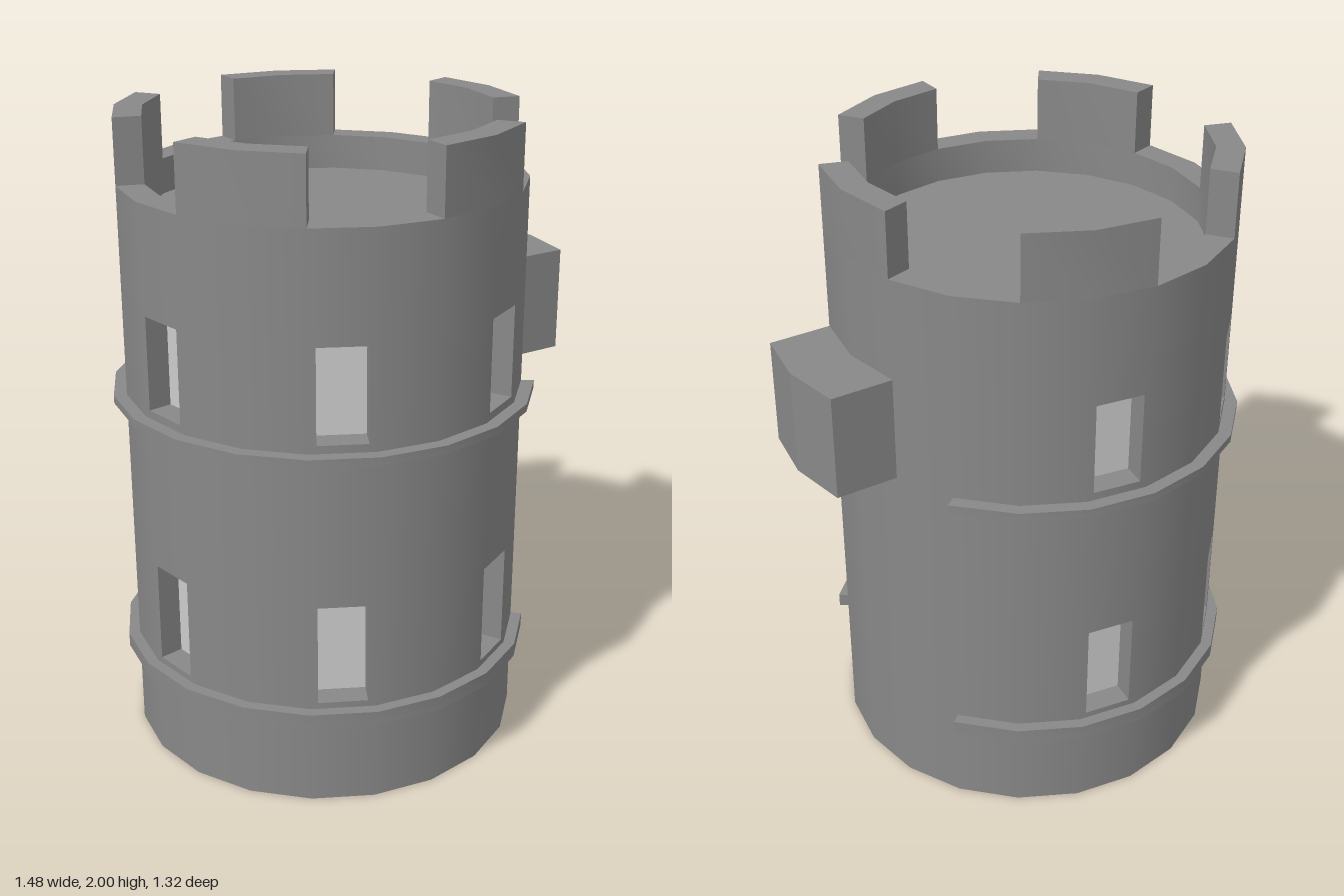
import * as THREE from 'three';
import { mergeGeometries, toCreasedNormals } from 'three/addons/utils/BufferGeometryUtils.js';

const SIDES = 20, STEP = Math.PI * 2 / SIDES;
const R = 0.62, R_IN = 0.535, RIM = 1.8, TOP = 2, FLOOR = 1.69;
const APOTHEM = R * Math.cos(STEP / 2), HALF = R * Math.sin(STEP / 2);
const WIN_W = 0.15, WIN_D = 0.075;
const WIN_ROWS = [[0.34, 0.66], [1.175, 1.465]];
const WIN_FACETS = [3, 6, 9, 12, 15];

const stone = new THREE.MeshStandardMaterial({ color: 0x888888 });
const paneGrey = new THREE.MeshStandardMaterial({ color: 0xcccccc });

function add(parent, name, geometry, material = stone) {
  const mesh = new THREE.Mesh(geometry, material);
  mesh.name = name;
  parent.add(mesh);
  return mesh;
}

// Plan outline of [x, z] points raised from y0 to y1
function prism(points, y0, y1) {
  const shape = new THREE.Shape(points.map(([x, z]) => new THREE.Vector2(x, -z)));
  const geo = new THREE.ExtrudeGeometry(shape, { depth: y1 - y0, bevelEnabled: false });
  geo.rotateX(-Math.PI / 2).translate(0, y0, 0);
  return toCreasedNormals(geo, 0.4);
}

// Ring sector covering facets first..last
function sector(rIn, rOut, first, last, y0, y1) {
  const outer = [], inner = [];
  for (let i = first; i <= last; i++) {
    const c = Math.cos(i * STEP), s = Math.sin(i * STEP);
    outer.push([rOut * c, rOut * s]);
    inner.unshift([rIn * c, rIn * s]);
  }
  return prism([...outer, ...inner], y0, y1);
}

function rectangle(PathType, x, y0, y1) {
  return new PathType([[-x, y0], [x, y0], [x, y1], [-x, y1]].map(p => new THREE.Vector2(...p)));
}

// One wall facet, with openings where there are windows
function wallPanel(i) {
  const shape = rectangle(THREE.Shape, HALF, 0, RIM);
  if (WIN_FACETS.includes(i))
    for (const [y0, y1] of WIN_ROWS) shape.holes.push(rectangle(THREE.Path, WIN_W / 2, y0, y1));
  const geo = new THREE.ShapeGeometry(shape);
  geo.translate(0, 0, APOTHEM).rotateY(Math.PI / 2 - (i + 0.5) * STEP);
  // Radial normals make the wall look round
  const p = geo.attributes.position, n = geo.attributes.normal;
  for (let k = 0; k < p.count; k++) {
    const l = Math.hypot(p.getX(k), p.getZ(k));
    n.setXYZ(k, p.getX(k) / l, 0, p.getZ(k) / l);
  }
  return geo;
}

// Recessed window: four inward-facing reveals and a pane
function makeWindow(facet, y0, y1) {
  const group = new THREE.Group();
  group.name = 'window';
  const reveal = new THREE.BoxGeometry(WIN_W, y1 - y0, WIN_D);
  reveal.setIndex(Array.from(reveal.index.array).slice(0, 24));
  reveal.scale(1, 1, -1).computeVertexNormals();
  add(group, 'windowReveal', reveal).position.z = APOTHEM - WIN_D / 2;
  add(group, 'windowPane', new THREE.PlaneGeometry(WIN_W, y1 - y0), paneGrey).position.z = APOTHEM - WIN_D;
  group.position.y = (y0 + y1) / 2;
  group.rotation.y = Math.PI / 2 - (facet + 0.5) * STEP;
  return group;
}

export function createModel() {
  const model = new THREE.Group();
  model.name = 'tower';
  const tower = new THREE.Group();
  tower.name = 'towerBody';
  tower.position.x = -0.08;
  model.add(tower);

  // Wall and base
  add(tower, 'wall', mergeGeometries(Array.from({ length: SIDES }, (_, i) => wallPanel(i))));
  add(tower, 'base', new THREE.CircleGeometry(R, SIDES).rotateX(Math.PI / 2));

  // Sunken roof floor and parapet rim
  add(tower, 'roofFloor', new THREE.CircleGeometry(R_IN, SIDES).rotateX(-Math.PI / 2).translate(0, FLOOR, 0));
  const rim = [[R, RIM], [R_IN, RIM], [R_IN, FLOOR]].map(p => new THREE.Vector2(...p));
  add(tower, 'parapetRim', toCreasedNormals(new THREE.LatheGeometry(rim, SIDES), 0.4));

  // Five battlements, each two facets wide
  for (let i = -1; i < SIDES - 1; i += 4)
    add(tower, 'battlement', sector(R_IN, R, i, i + 2, RIM, TOP));

  // Bands, left open on the side with the projecting bay
  add(tower, 'lowerBand', sector(0.6, 0.655, 2, 18, 0.275, 0.32));
  add(tower, 'upperBand', sector(0.6, 0.66, 2, 18, 1.125, 1.15));

  for (const facet of WIN_FACETS)
    for (const [y0, y1] of WIN_ROWS) tower.add(makeWindow(facet, y0, y1));

  // Projecting bay that follows two facets of the wall
  const z = R * Math.sin(STEP), x = R * Math.cos(STEP);
  const bay = [[x, z], [x + 0.195, z], [R + 0.195, 0], [x + 0.195, -z], [x, -z], [R, 0]];
  add(tower, 'bay', toCreasedNormals(prism(bay, 1.155, 1.485), 0.1));

  return model;
}
